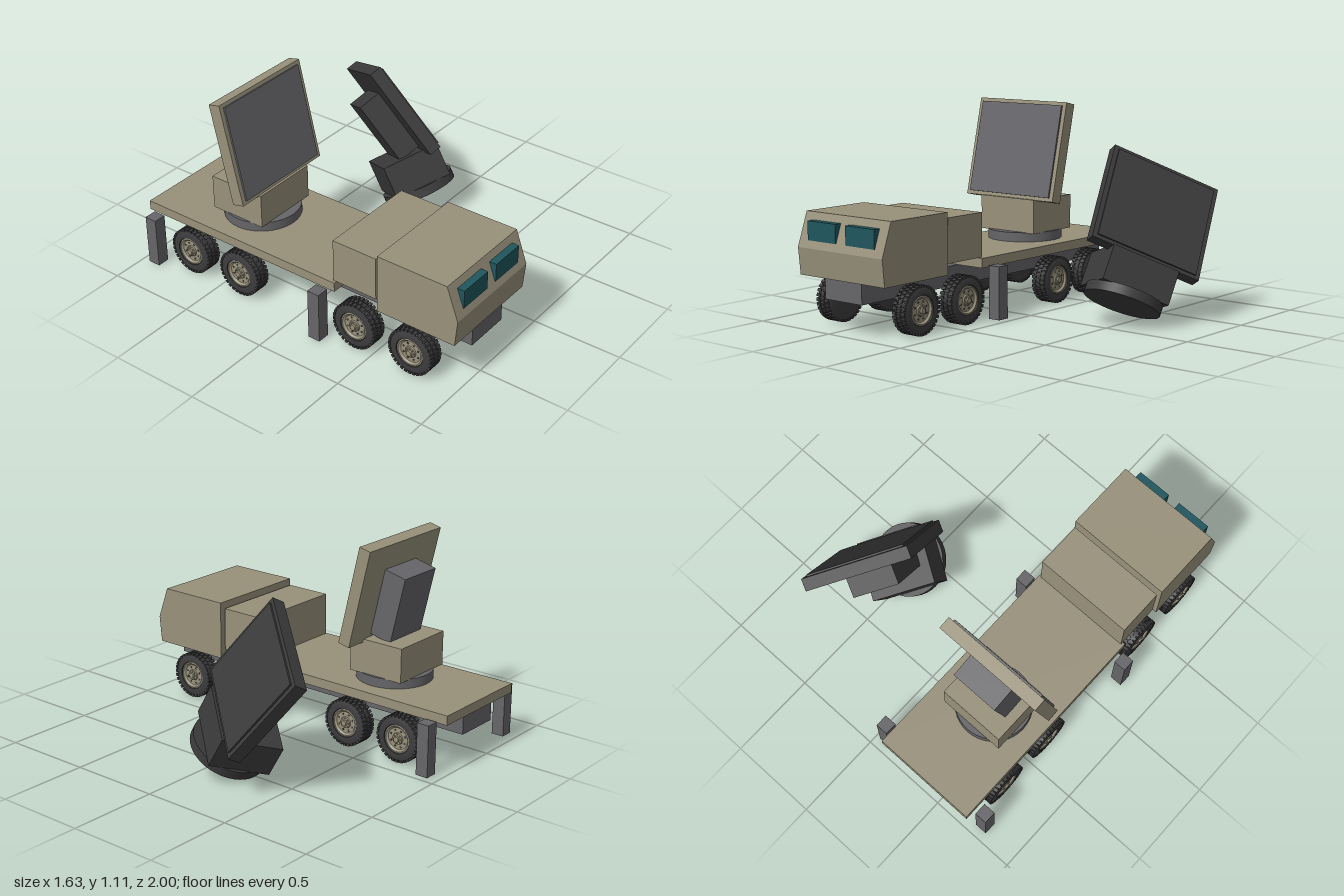
import * as THREE from 'three';
import { mergeGeometries, toCreasedNormals } from 'three/addons/utils/BufferGeometryUtils.js';

const mat = (name, color) => {
  const m = new THREE.MeshStandardMaterial({ color });
  m.name = name;
  return m;
};
const V = (x, y) => new THREE.Vector2(x, y);
const rad = THREE.MathUtils.degToRad;

export function createModel() {
  const tan = mat('sand paint', 0x98917b);
  const grey = mat('grey metal', 0x666569);
  const teal = mat('window teal', 0x1f565d);
  const rubber = mat('tyre rubber', 0x3d3d3f);
  const burnt = mat('burnt metal', 0x3b3b3b);

  const add = (parent, name, geo, material, x = 0, y = 0, z = 0) => {
    const m = new THREE.Mesh(geo, material);
    m.name = name;
    m.position.set(x, y, z);
    parent.add(m);
    return m;
  };
  // Box given by its lower and upper limits on each axis
  const box = (parent, name, material, x0, x1, y0, y1, z0, z1) =>
    add(parent, name, new THREE.BoxGeometry(x1 - x0, y1 - y0, z1 - z0), material,
      (x0 + x1) / 2, (y0 + y1) / 2, (z0 + z1) / 2);

  const model = new THREE.Group();
  model.name = 'radarTruckAndWreck';
  const truck = new THREE.Group();
  truck.name = 'truck';
  truck.position.x = -0.415;
  model.add(truck);

  // Chassis, deck and equipment box
  box(truck, 'chassis', grey, -0.13, 0.13, 0.177, 0.286, -0.985, 0.975);
  box(truck, 'deck', tan, -0.3, 0.3, 0.285, 0.337, -1, 0.26);
  box(truck, 'equipmentBox', tan, -0.285, 0.285, 0.34, 0.578, 0.243, 0.507);

  // Cab: side profile extruded across the width
  const profile = new THREE.Shape([
    V(0.525, 0.285), V(0.985, 0.285), V(1, 0.43), V(0.935, 0.61), V(0.525, 0.61)]);
  const cabGeo = new THREE.ExtrudeGeometry(profile, { depth: 0.6, bevelEnabled: false });
  cabGeo.rotateY(-Math.PI / 2).translate(0.3, 0, 0);
  add(truck, 'cab', cabGeo, tan);
  for (const s of [-1, 1]) {
    add(truck, 'windscreen', new THREE.BoxGeometry(0.2, 0.1, 0.06), teal, s * 0.136, 0.52, 0.96);
  }

  // Stabiliser legs
  for (const s of [-1, 1]) for (const z of [0.193, -0.915]) {
    add(truck, 'stabiliserLeg', new THREE.BoxGeometry(0.07, 0.285, 0.07), grey, s * 0.353, 0.155, z);
  }

  // Wheel geometry, axis along x with the outside at +x
  const lathe = (pts, n) => toCreasedNormals(
    new THREE.LatheGeometry(pts.map(p => V(...p)), n).rotateZ(-Math.PI / 2), 0.6);
  const tyreGeo = lathe([[0, -0.044], [0.1, -0.046], [0.118, -0.04], [0.125, -0.03],
    [0.125, 0.03], [0.118, 0.04], [0.1, 0.046], [0.08, 0.045], [0.074, 0.026]], 40);
  const hubGeo = lathe([[0.078, 0.024], [0.077, 0.041], [0.07, 0.042], [0.06, 0.032], [0.032, 0.032],
    [0.03, 0.04], [0.016, 0.042], [0.015, 0.052], [0, 0.052]], 32);
  const lugs = [];
  const lugCount = 32;
  for (let i = 0; i < lugCount; i++) {
    for (const [x, w, shift] of [[-0.03, 0.026, 0], [0, 0.026, 0.5], [0.03, 0.026, 0]]) {
      lugs.push(new THREE.BoxGeometry(w, 0.012, 0.017).translate(x, 0.124, 0)
        .rotateX((i + shift) / lugCount * Math.PI * 2));
    }
  }
  const treadGeo = mergeGeometries(lugs);
  const bolts = [], vents = [];
  for (let i = 0; i < 8; i++) {
    const a = i / 8 * Math.PI * 2;
    bolts.push(new THREE.CylinderGeometry(0.004, 0.004, 0.012, 6).rotateZ(-Math.PI / 2)
      .translate(0.04, 0.023, 0).rotateX(a));
    vents.push(new THREE.CylinderGeometry(0.006, 0.006, 0.004, 10).rotateZ(-Math.PI / 2)
      .translate(0.0315, 0.047, 0).rotateX(a + Math.PI / 8));
  }
  const boltGeo = mergeGeometries(bolts), ventGeo = mergeGeometries(vents);

  for (const s of [-1, 1]) for (const z of [0.735, 0.39, -0.365, -0.705]) {
    const wheel = new THREE.Group();
    wheel.name = 'wheel';
    add(wheel, 'tyre', tyreGeo, rubber);
    add(wheel, 'tread', treadGeo, rubber);
    add(wheel, 'hub', hubGeo, tan);
    add(wheel, 'hubBolts', boltGeo, tan);
    add(wheel, 'hubVents', ventGeo, rubber);
    wheel.position.set(s * 0.273, 0.136, z);
    if (s < 0) wheel.rotation.y = Math.PI;
    truck.add(wheel);
  }

  // Radar: turntable, pedestal and a panel leaning back, origin under the turntable
  const radar = (name, body, metal) => {
    const g = new THREE.Group();
    g.name = name;
    add(g, 'turntable', new THREE.CylinderGeometry(0.207, 0.207, 0.053, 40), metal, 0, 0.0265, 0);
    box(g, 'pedestal', body, -0.19, 0.19, 0.05, 0.24, -0.175, 0.155);
    const panel = new THREE.Group();
    panel.name = 'antenna';
    panel.position.set(0, 0.5, 0.045);
    panel.rotation.x = -rad(13.2);
    box(panel, 'antennaFrame', body, -0.311, 0.311, -0.278, 0.278, -0.035, 0.035);
    box(panel, 'antennaFace', metal, -0.286, 0.286, -0.258, 0.258, 0.03, 0.045);
    box(panel, 'electronicsBox', metal, -0.135, 0.135, -0.24, 0.1375, -0.166, -0.034);
    g.add(panel);
    return g;
  };

  const mounted = radar('mountedRadar', tan, grey);
  mounted.position.set(0, 0.336, -0.455);
  truck.add(mounted);

  // Burnt radar thrown off and lying at an angle
  const wreck = radar('wreckedRadar', burnt, burnt);
  wreck.position.set(0.527, 0.119, -0.098);
  wreck.rotation.set(-rad(30), rad(55), 0);
  model.add(wreck);

  return model;
}
